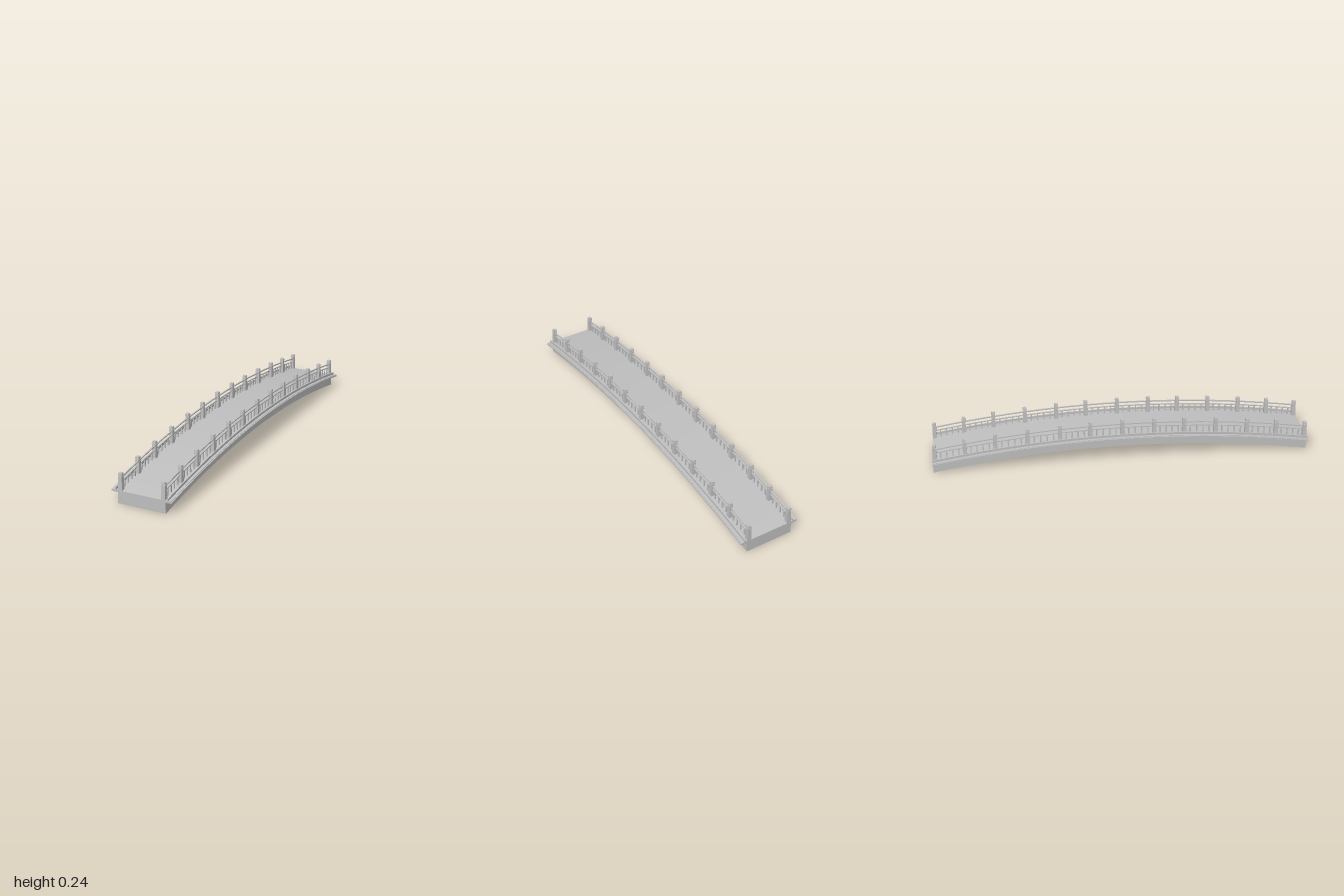
import * as THREE from 'three';

const RISE = 0.085;
const DECK_Y = 0.068; // deck height at the two ends
const RAIL_X = 0.118;
const arch = (z, rise = RISE) => rise * (1 - z * z);

// Bar running the length of the bridge, bent to follow the arch
function archedBar(width, y0, y1, bottomRise = RISE, length = 2) {
  const h = y1 - y0;
  const geo = new THREE.BoxGeometry(width, h, length, 1, 1, 24);
  geo.translate(0, (y0 + y1) / 2, 0);
  const p = geo.attributes.position;
  for (let i = 0; i < p.count; i++) {
    const y = p.getY(i);
    const rise = y < y0 + h / 2 ? bottomRise : RISE;
    p.setY(i, y + arch(p.getZ(i), rise));
  }
  geo.computeVertexNormals();
  return geo;
}

// Four-sided tapered block, sized by its widths across the flats
function taperedBlock(top, bottom, height, y) {
  const geo = new THREE.CylinderGeometry(top * Math.SQRT1_2, bottom * Math.SQRT1_2, height, 4).toNonIndexed();
  geo.rotateY(Math.PI / 4);
  geo.translate(0, y + height / 2, 0);
  geo.computeVertexNormals();
  return geo;
}

export function createModel() {
  const model = new THREE.Group();
  const stone = new THREE.MeshStandardMaterial({ color: 0xbfbfbf });
  stone.name = 'grey stone';

  const add = (parent, name, geo, x = 0, y = 0, z = 0) => {
    const mesh = new THREE.Mesh(geo, stone);
    mesh.name = name;
    mesh.position.set(x, y, z);
    parent.add(mesh);
    return mesh;
  };

  // Curved span
  add(model, 'archedDeck', archedBar(0.262, 0, DECK_Y, 0.089));

  // Geometries shared by both sides
  const ledge = archedBar(0.032, 0.058, 0.069);
  const ledgeEdge = archedBar(0.007, 0.06, 0.067);
  const kerb = archedBar(0.006, 0.068, 0.081);
  const topRail = archedBar(0.007, 0.126, 0.132, RISE, 1.976);
  const midRail = archedBar(0.007, 0.106, 0.111, RISE, 1.976);
  const shaft = taperedBlock(0.019, 0.023, 0.074, -0.002);
  const neck = taperedBlock(0.015, 0.015, 0.005, 0.071);
  const cap = taperedBlock(0.018, 0.021, 0.012, 0.075);
  const baluster = new THREE.BoxGeometry(0.006, 0.042, 0.006);
  baluster.translate(0, 0.02, 0);

  const postZ = [-0.988, -0.83, -0.67, -0.5, -0.33, -0.17, 0, 0.17, 0.33, 0.5, 0.67, 0.83, 0.988];
  const perBay = 4;

  for (const [side, s] of [['left', 1], ['right', -1]]) {
    const railing = new THREE.Group();
    railing.name = side + 'Railing';
    model.add(railing);

    // Overhanging ledge with outer moulding and low kerb
    add(railing, 'ledge', ledge, s * 0.145);
    add(railing, 'ledgeEdge', ledgeEdge, s * 0.1635);
    add(railing, 'kerb', kerb, s * 0.143);

    // Handrails
    add(railing, 'topRail', topRail, s * RAIL_X);
    add(railing, 'midRail', midRail, s * RAIL_X);

    postZ.forEach((z, i) => {
      // Capped post
      const post = new THREE.Group();
      post.name = 'post';
      post.position.set(s * RAIL_X, DECK_Y + arch(z), z);
      railing.add(post);
      add(post, 'postShaft', shaft);
      add(post, 'postNeck', neck);
      add(post, 'postCap', cap);

      // Balusters up to the next post
      if (i === postZ.length - 1) return;
      for (let k = 1; k <= perBay; k++) {
        const bz = z + (postZ[i + 1] - z) * k / (perBay + 1);
        add(railing, 'baluster', baluster, s * RAIL_X, DECK_Y + arch(bz), bz);
      }
    });
  }

  return model;
}
